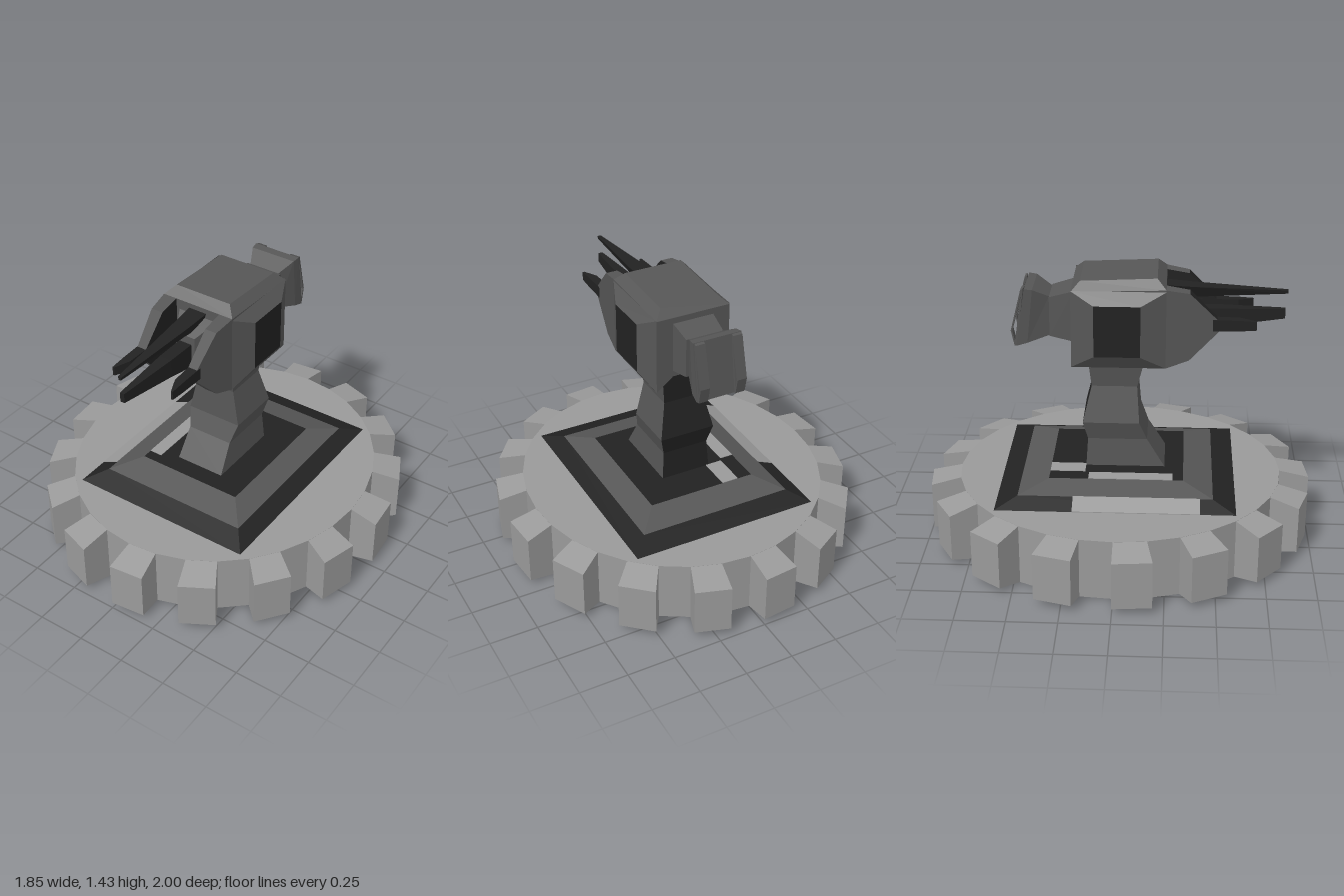
import * as THREE from 'three';

const mat = (name, color) => {
  const m = new THREE.MeshStandardMaterial({ color });
  m.name = name;
  return m;
};

export function createModel() {
  const root = new THREE.Group();
  root.name = 'turret';
  const light = mat('lightGrey', 0x9a9a9a);
  const grey = mat('darkGrey', 0x565656);
  const black = mat('black', 0x222222);

  // Flat-faced solid through rings of [x,y,z]; sides, first and last cap may differ in colour
  function loft(name, parent, rings, main, { sides = [], first = main, last = main } = {}) {
    const faces = [];
    const n = rings[0].length;
    for (let i = 0; i < rings.length - 1; i++) {
      for (let j = 0; j < n; j++) {
        const k = (j + 1) % n, m = sides[j] || main;
        const a = rings[i][j], b = rings[i][k], c = rings[i + 1][k], d = rings[i + 1][j];
        faces.push([m, a, b, c], [m, a, c, d]);
      }
    }
    const cap = (ring, m, flip) => {
      const mid = [0, 1, 2].map(q => ring.reduce((s, p) => s + p[q], 0) / n);
      ring.forEach((p, j) => {
        const r = ring[(j + 1) % n];
        faces.push(flip ? [m, mid, r, p] : [m, mid, p, r]);
      });
    };
    cap(rings[0], first, true);
    cap(rings[rings.length - 1], last, false);
    // signed volume tells whether the winding must be turned round
    let volume = 0;
    for (const [, a, b, c] of faces) {
      volume += a[0] * (b[1] * c[2] - b[2] * c[1]) + a[1] * (b[2] * c[0] - b[0] * c[2]) + a[2] * (b[0] * c[1] - b[1] * c[0]);
    }
    const mats = [...new Set(faces.map(f => f[0]))];
    const pos = [];
    const geo = new THREE.BufferGeometry();
    mats.forEach((m, index) => {
      const start = pos.length / 3;
      for (const [fm, a, b, c] of faces) {
        if (fm === m) pos.push(...a, ...(volume < 0 ? c : b), ...(volume < 0 ? b : c));
      }
      geo.addGroup(start, pos.length / 3 - start, index);
    });
    geo.setAttribute('position', new THREE.Float32BufferAttribute(pos, 3));
    geo.computeVertexNormals();
    const mesh = new THREE.Mesh(geo, mats.length > 1 ? mats : mats[0]);
    mesh.name = name;
    parent.add(mesh);
    return mesh;
  }
  // rectangles lying across y (sides: back, left, front, right) and across z
  const rectY = (y, x0, x1, z0, z1) => [[x0, y, z0], [x1, y, z0], [x1, y, z1], [x0, y, z1]];
  const rectZ = (z, x0, x1, y0, y1) => [[x0, y0, z], [x1, y0, z], [x1, y1, z], [x0, y1, z]];
  const rectX = (x, y0, y1, z0, z1) => [[x, y0, z0], [x, y1, z0], [x, y1, z1], [x, y0, z1]];
  const group = name => {
    const g = new THREE.Group();
    g.name = name;
    root.add(g);
    return g;
  };

  // Toothed base wheel, slightly narrower across x
  const base = group('gearBase');
  const disc = new THREE.CylinderGeometry(0.845, 0.845, 0.32, 32).toNonIndexed();
  disc.scale(0.925, 1, 1).translate(0, 0.16, 0);
  disc.computeVertexNormals();
  const wheel = new THREE.Mesh(disc, light);
  wheel.name = 'wheel';
  base.add(wheel);
  const step = Math.PI / 16;
  for (let i = 0; i < 16; i++) {
    const a = i * 2 * step, b = a + step;
    const at = (r, t, y) => [0.925 * r * Math.sin(t), y, r * Math.cos(t)];
    const ring = (r, y0, y1) => [at(r, a, y0), at(r, b, y0), at(r, b, y1), at(r, a, y1)];
    loft('tooth', base, [ring(0.84, 0, 0.32), ring(1, 0.035, 0.285)], light);
  }

  // Stepped pedestal with worn light patches on its right side
  const pedestal = group('pedestal');
  loft('lowerSlope', pedestal, [rectY(0.321, -0.5, 0.5, -0.61, 0.6), rectY(0.36, -0.41, 0.41, -0.5, 0.485)], black);
  loft('upperSlope', pedestal, [rectY(0.36, -0.41, 0.41, -0.5, 0.485), rectY(0.4, -0.29, 0.29, -0.35, 0.335)], grey, { last: black });
  const strip = z => [[-0.5, 0.324, z], [-0.41, 0.363, z], [-0.41, 0.358, z], [-0.5, 0.32, z]];
  loft('slopePatch', pedestal, [strip(-0.22), strip(0.42)], light);
  for (const [x0, x1, z0, z1] of [[-0.29, -0.22, -0.15, 0.28], [-0.21, -0.12, -0.35, -0.17]]) {
    loft('topPatch', pedestal, [rectY(0.398, x0, x1, z0, z1), rectY(0.403, x0, x1, z0, z1)], light);
  }

  // Column: [y, half width, back, front], with a black back
  const column = [
    [0.395, 0.135, -0.17, 0.24], [0.55, 0.125, -0.16, 0.145], [0.65, 0.15, -0.185, 0.105],
    [0.84, 0.11, -0.14, 0.092], [1.07, 0.135, -0.165, 0.15],
  ].map(([y, x, z0, z1]) => rectY(y, -x, x, z0, z1));
  loft('column', root, column, grey, { sides: [black] });

  // Head core with a notched underside and a bevelled roof
  const head = group('head');
  const section = (z, top) => [
    [-0.2, 0.98, z], [-0.14, 1.05, z], [0.14, 1.05, z], [0.2, 0.98, z], [0.2, top, z], [-0.2, top, z],
  ];
  loft('core', head, [section(-0.235, 1.375), section(0.235, 1.39)], grey);
  const roofLow = rectY(1.39, -0.2, 0.2, -0.235, 0.235);
  const roofTop = rectY(1.435, -0.155, 0.155, -0.19, 0.19);
  for (const r of [roofLow, roofTop]) for (const p of r) if (p[2] < 0) p[1] -= 0.017;
  loft('roof', head, [roofLow, roofTop], grey);

  for (const s of [1, -1]) {
    // Bulged side with a black panel
    loft('sideBulge', head, [rectX(s * 0.2, 0.98, 1.38, -0.235, 0.235), rectX(s * 0.25, 1.055, 1.32, -0.12, 0.11)], grey, { last: black });

    // Cheek plate beside the snout
    const outline = [[0.235, 0.98], [0.35, 1.02], [0.5, 1.175], [0.5, 1.22], [0.35, 1.37], [0.235, 1.39]];
    loft('cheek', head, [
      outline.map(([z, y]) => [s * (0.2 - (z - 0.235) * 0.1), y, z]),
      outline.map(([z, y]) => [s * 0.125, y, z]),
    ], grey, { sides: [grey, grey, black, black, grey, grey], last: black });

    // Short side prong, pointed towards its outer edge
    const prong = (z, a, b, y0, y1) => rectZ(z, Math.min(s * a, s * b), Math.max(s * a, s * b), y0, y1);
    loft('sideProng', head, [prong(0.34, 0.122, 0.178, 1.17, 1.235), prong(0.6, 0.13, 0.176, 1.175, 1.23), prong(0.68, 0.165, 0.175, 1.18, 1.225)], black);
  }

  // Snout and central prongs
  loft('snout', head, [rectZ(0.23, -0.11, 0.11, 1.06, 1.34), rectZ(0.34, -0.055, 0.055, 1.07, 1.28)], grey);
  loft('lowerProng', head, [
    rectZ(0.33, -0.035, 0.035, 1.11, 1.24), rectZ(0.5, -0.033, 0.033, 1.145, 1.24), rectZ(0.83, -0.012, 0.012, 1.185, 1.235),
  ], black);
  const wedge = (z, w, v, y0, y1) => [[-v, y0, z], [v, y0, z], [w, y1, z], [-w, y1, z]];
  loft('upperProng', head, [wedge(0.23, 0.05, 0.02, 1.28, 1.365), wedge(0.37, 0.042, 0.017, 1.295, 1.355), wedge(0.84, 0.01, 0.006, 1.315, 1.333)], black);

  // Rear neck and flared tail
  const tail = group('tail');
  loft('neck', tail, [rectZ(-0.23, -0.11, 0.11, 1.08, 1.345), rectZ(-0.35, -0.1, 0.1, 1.105, 1.31)], grey);
  const slant = [[-0.13, 1.06, -0.515], [0.13, 1.06, -0.515], [0.13, 1.36, -0.47], [-0.13, 1.36, -0.47]];
  loft('flare', tail, [
    rectZ(-0.35, -0.085, 0.085, 1.105, 1.31),
    [[-0.125, 1.075, -0.46], [0.125, 1.075, -0.46], [0.125, 1.355, -0.43], [-0.125, 1.355, -0.43]],
    slant,
  ], grey);
  // Thin open brackets on the back of the tail
  const bracket = new THREE.Shape([[-0.475, 1.36], [-0.488, 1.355], [-0.542, 1.14], [-0.525, 1.06], [-0.51, 1.06]].map(p => new THREE.Vector2(...p)));
  bracket.holes.push(new THREE.Path([[-0.485, 1.33], [-0.534, 1.14], [-0.522, 1.085]].map(p => new THREE.Vector2(...p))));
  for (const x of [-0.1, 0.1]) {
    const geo = new THREE.ExtrudeGeometry(bracket, { depth: 0.05, bevelEnabled: false });
    geo.translate(0, 0, -0.025).rotateY(-Math.PI / 2).translate(x, 0, 0);
    const mesh = new THREE.Mesh(geo, grey);
    mesh.name = 'tailBracket';
    tail.add(mesh);
  }
  return root;
}
